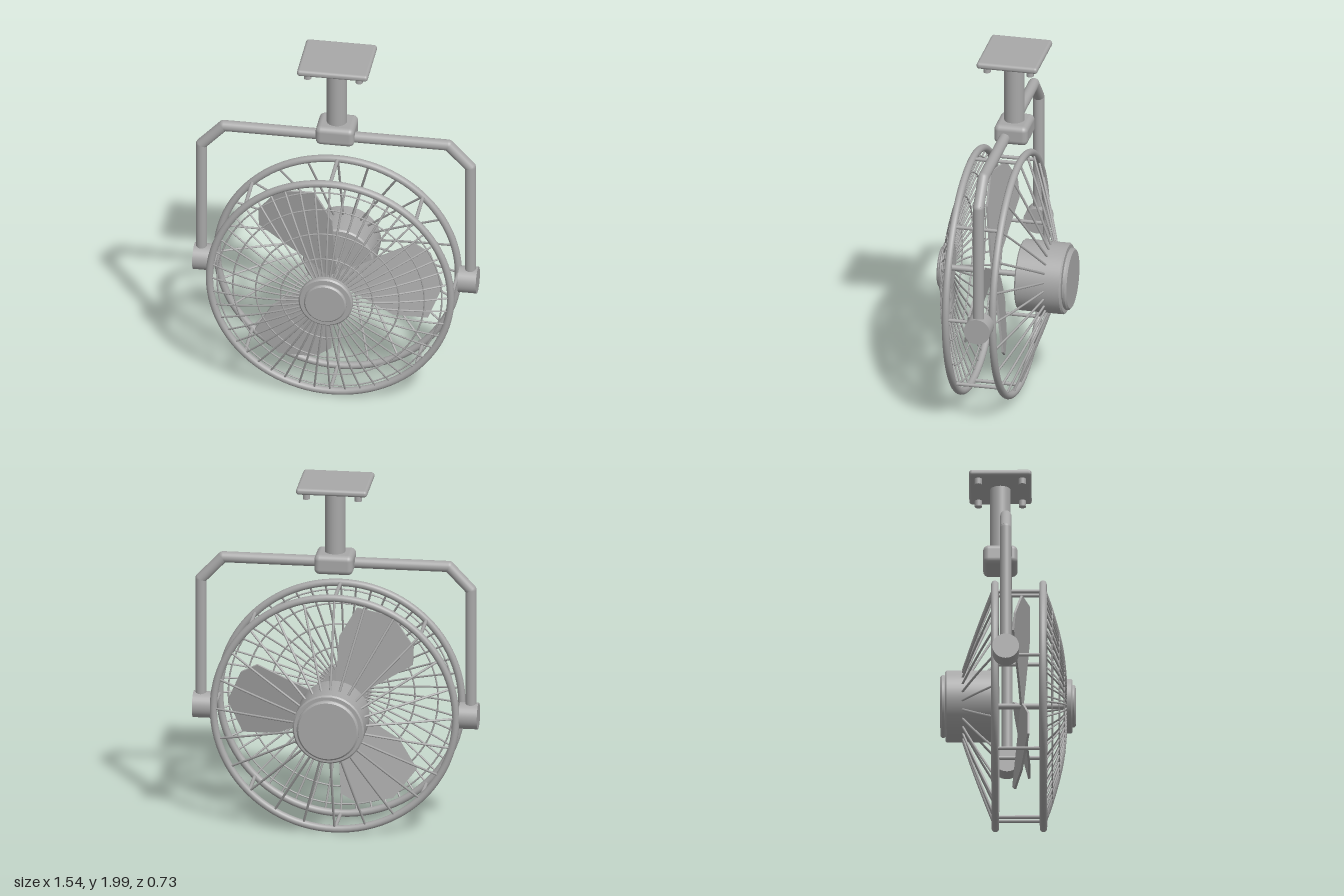
import * as THREE from 'three';
import { RoundedBoxGeometry } from 'three/addons/geometries/RoundedBoxGeometry.js';

const grey = new THREE.MeshStandardMaterial({ color: 0xa8a8a8 });
grey.name = 'grey metal';
const V = (x, y, z) => new THREE.Vector3(x, y, z);

function add(parent, name, geometry, x = 0, y = 0, z = 0) {
  const mesh = new THREE.Mesh(geometry, grey);
  mesh.name = name;
  mesh.position.set(x, y, z);
  parent.add(mesh);
  return mesh;
}

// Straight round bar between two points
function bar(parent, name, a, b, r, sides = 24) {
  const d = b.clone().sub(a);
  const mesh = add(parent, name, new THREE.CylinderGeometry(r, r, d.length(), sides));
  mesh.position.copy(a).add(b).multiplyScalar(0.5);
  mesh.quaternion.setFromUnitVectors(V(0, 1, 0), d.normalize());
  return mesh;
}

// Round body along z from z0 to z1 with slightly softened rims
function drum(parent, name, r, z0, z1, c = 0.008) {
  const pts = [[0, z0], [r - c, z0], [r - c, z0], [r, z0 + c], [r, z0 + c], [r, z1 - c], [r, z1 - c], [r - c, z1], [r - c, z1], [0, z1]];
  const geo = new THREE.LatheGeometry(pts.map(p => new THREE.Vector2(...p)), 48);
  geo.rotateX(Math.PI / 2);
  return add(parent, name, geo);
}

export function createModel() {
  const model = new THREE.Group();
  model.name = 'ceilingFan';

  // Ceiling mount
  const mountZ = -0.04;
  add(model, 'ceilingPlate', new RoundedBoxGeometry(0.385, 0.036, 0.335, 4, 0.016), 0, 1.982, mountZ);
  add(model, 'dropPipe', new THREE.CylinderGeometry(0.055, 0.055, 0.41, 32), 0, 1.765, mountZ);
  add(model, 'yokeBlock', new RoundedBoxGeometry(0.21, 0.11, 0.185, 4, 0.03), 0, 1.543, mountZ);
  for (const sx of [-1, 1]) for (const sz of [-1, 1])
    add(model, 'mountBolt', new THREE.CylinderGeometry(0.02, 0.02, 0.04, 16), sx * 0.14, 1.95, mountZ + sz * 0.118);

  // Yoke with clipped corners, and side pivots
  const yz = -0.008;
  const path = [V(-0.73, 0.7, yz), V(-0.73, 1.4, yz), V(-0.61, 1.527, yz), V(0.61, 1.527, yz), V(0.73, 1.4, yz), V(0.73, 0.7, yz)];
  const yoke = new THREE.Group();
  yoke.name = 'yoke';
  model.add(yoke);
  for (let i = 0; i < path.length - 1; i++) {
    bar(yoke, 'yokeBar', path[i], path[i + 1], 0.03);
    if (i) add(yoke, 'yokeElbow', new THREE.SphereGeometry(0.03, 24, 12), path[i].x, path[i].y, path[i].z);
  }
  for (const s of [-1, 1])
    bar(yoke, 'pivotKnob', V(s * 0.67, 0.685, yz), V(s * 0.77, 0.685, yz), 0.072, 32);

  // Fan head, built around its own axis
  const head = new THREE.Group();
  head.name = 'fanHead';
  head.position.y = 0.685;
  model.add(head);

  // Motor, shaft and front badge
  drum(head, 'motorHousing', 0.193, -0.335, -0.08);
  drum(head, 'motorCap', 0.168, -0.362, -0.33, 0.01);
  bar(head, 'shaft', V(0, 0, -0.09), V(0, 0, 0.32), 0.016, 16);
  drum(head, 'frontHub', 0.147, 0.31, 0.347);
  drum(head, 'frontHubCap', 0.115, 0.34, 0.364);

  // Cage rims and the struts between them
  const R = 0.655, zF = 0.19, zB = -0.068;
  for (const [n, z] of [['frontRim', zF], ['backRim', zB]])
    add(head, n, new THREE.TorusGeometry(R, 0.02, 14, 96), 0, 0, z);
  for (let i = 0; i < 8; i++) {
    const a = i * Math.PI / 4, x = R * Math.cos(a), y = R * Math.sin(a);
    bar(head, 'cageStrut', V(x, y, zB), V(x, y, zF), 0.01, 10);
  }

  // Front grille: bowed wires and concentric rings
  const bow = r => 0.315 - 0.125 * ((r - 0.12) / (R - 0.12)) ** 1.7;
  const frontCurve = new THREE.CatmullRomCurve3([R, 0.55, 0.42, 0.28, 0.12].map(r => V(r, 0, bow(r))));
  const frontWire = new THREE.TubeGeometry(frontCurve, 12, 0.0055, 6);
  for (let i = 0; i < 48; i++) add(head, 'frontWire', frontWire).rotation.z = i * Math.PI / 24;
  for (const r of [0.61, 0.52, 0.39, 0.25])
    add(head, 'grilleRing', new THREE.TorusGeometry(r, 0.0045, 6, 72), 0, 0, bow(r));

  // Back grille wires running to the motor
  const backCurve = new THREE.QuadraticBezierCurve3(V(R, 0, zB), V(0.42, 0, -0.165), V(0.185, 0, -0.243));
  const backWire = new THREE.TubeGeometry(backCurve, 8, 0.0065, 6);
  for (let i = 0; i < 24; i++) add(head, 'backWire', backWire).rotation.z = i * Math.PI / 12;

  // Three pitched blades
  const outline = [[0.01, -0.025], [0.13, -0.09], [0.33, -0.19], [0.52, -0.19], [0.595, 0], [0.52, 0.18], [0.43, 0.23], [0.13, 0.075], [0.01, 0.025]];
  const bladeGeo = new THREE.ExtrudeGeometry(new THREE.Shape(outline.map(p => new THREE.Vector2(...p))), { depth: 0.012, bevelEnabled: false });
  bladeGeo.translate(0, 0, -0.006).rotateX(-0.2).translate(0, 0, 0.075);
  for (let i = 0; i < 3; i++) add(head, 'fanBlade', bladeGeo).rotation.z = i * Math.PI * 2 / 3;

  return model;
}
